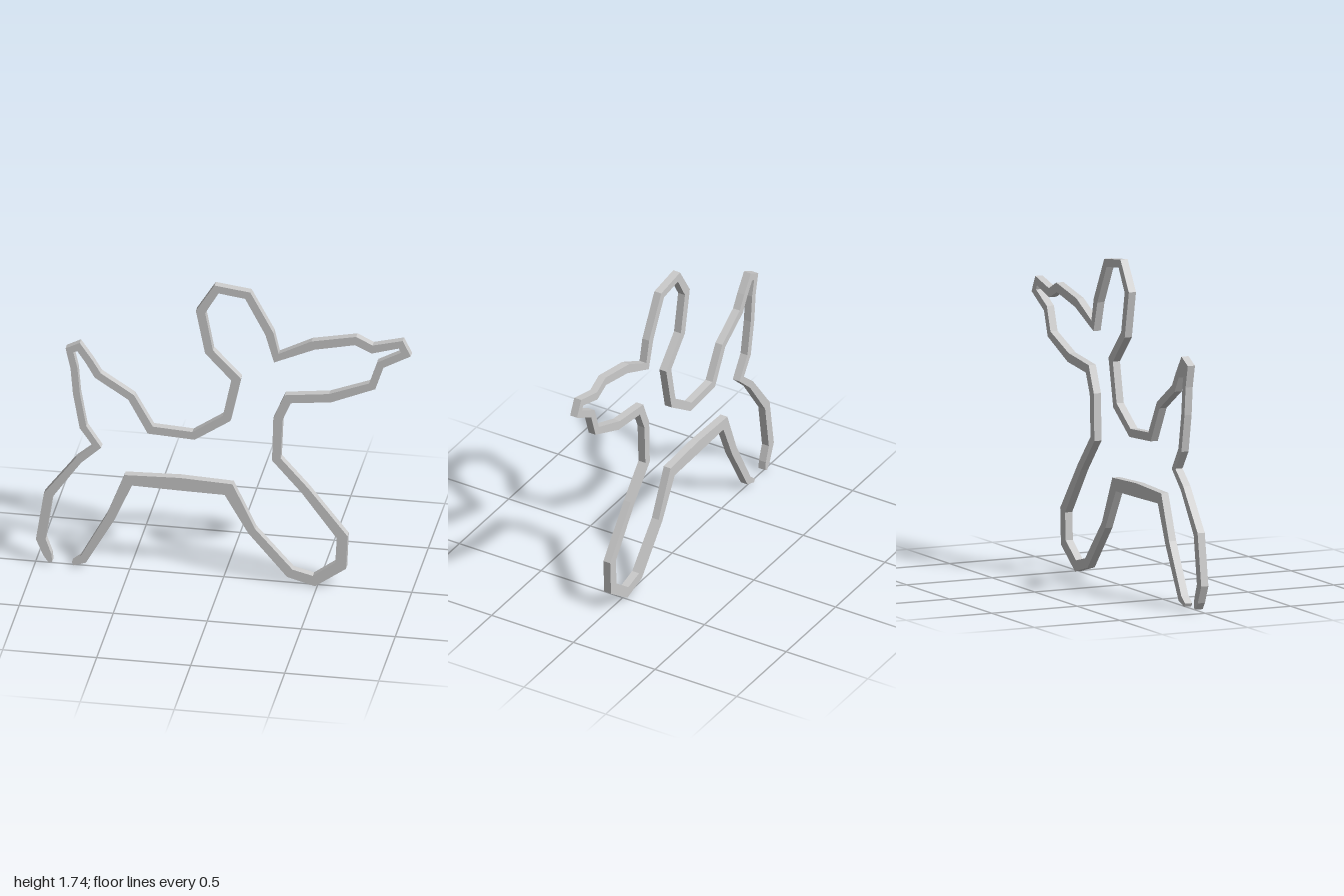
import * as THREE from 'three';

const DEPTH = 0.042;

// Centreline of the band as [x, y, width], in order from one hind foot round to the other
const parts = [
  ['hindLegBack', [
    [-0.918, 0.013, 0.02], [-0.934, 0.055, 0.044], [-0.97, 0.145, 0.05], [-0.93, 0.41, 0.048],
    [-0.77, 0.63, 0.038], [-0.67, 0.72, 0.033]]],
  ['tail', [
    [-0.745, 0.83, 0.037], [-0.78, 1.025, 0.037], [-0.793, 1.175, 0.037], [-0.817, 1.28, 0.036],
    [-0.769, 1.304, 0.039], [-0.713, 1.223, 0.04], [-0.667, 1.145, 0.042], [-0.489, 1.03, 0.041]]],
  ['back', [
    [-0.387, 0.846, 0.045], [-0.157, 0.833, 0.044], [0.019, 0.953, 0.045], [0.069, 1.188, 0.047]]],
  ['ear', [
    [-0.075, 1.34, 0.045], [-0.12, 1.572, 0.047], [-0.035, 1.714, 0.042], [0.131, 1.692, 0.043],
    [0.246, 1.476, 0.045], [0.283, 1.335, 0.037]]],
  ['muzzle', [
    [0.478, 1.428, 0.05], [0.705, 1.476, 0.047], [0.793, 1.434, 0.045], [0.945, 1.476, 0.039],
    [0.972, 1.42, 0.04], [0.836, 1.345, 0.041], [0.793, 1.215, 0.041], [0.569, 1.124, 0.049],
    [0.344, 1.097, 0.048]]],
  ['chest', [[0.291, 0.972, 0.048], [0.283, 0.734, 0.045]]],
  ['frontLeg', [
    [0.435, 0.563, 0.046], [0.633, 0.304, 0.056], [0.625, 0.133, 0.058], [0.483, 0.03, 0.055],
    [0.355, 0.064, 0.052], [0.152, 0.296, 0.046], [0.029, 0.531, 0.068]]],
  ['belly', [[-0.23, 0.539, 0.075], [-0.505, 0.537, 0.059]]],
  ['hindLegFront', [[-0.595, 0.315, 0.049], [-0.745, 0.043, 0.042], [-0.8, 0.014, 0.02]]],
];

// Mitred pair of edge points at each centreline point
function mitredEdges(line) {
  const points = line.map(([x, y]) => new THREE.Vector2(x, y));
  return points.map((p, i) => {
    const before = p.clone().sub(points[Math.max(i - 1, 0)]).normalize();
    const after = points[Math.min(i + 1, points.length - 1)].clone().sub(p).normalize();
    const along = before.clone().add(after).normalize();
    const cosHalf = Math.max(along.dot(i ? before : after), 0.5);
    const offset = new THREE.Vector2(-along.y, along.x).multiplyScalar(line[i][2] / 2 / cosHalf);
    return [p.clone().add(offset), p.clone().sub(offset)];
  });
}

export function createModel() {
  const group = new THREE.Group();
  group.name = 'dogOutline';
  const material = new THREE.MeshStandardMaterial({ color: 0xcccccc, flatShading: true });
  const edges = mitredEdges(parts.flatMap(([, line]) => line));

  // Each part starts at the last joint of the part before it
  let start = 0;
  for (const [name, line] of parts) {
    const run = edges.slice(Math.max(start - 1, 0), start + line.length);
    start += line.length;
    const outline = [...run.map((pair) => pair[0]), ...run.map((pair) => pair[1]).reverse()];
    const geometry = new THREE.ExtrudeGeometry(new THREE.Shape(outline), { depth: DEPTH, bevelEnabled: false });
    geometry.translate(0, 0, -DEPTH / 2);
    const mesh = new THREE.Mesh(geometry, material);
    mesh.name = name;
    group.add(mesh);
  }
  return group;
}
